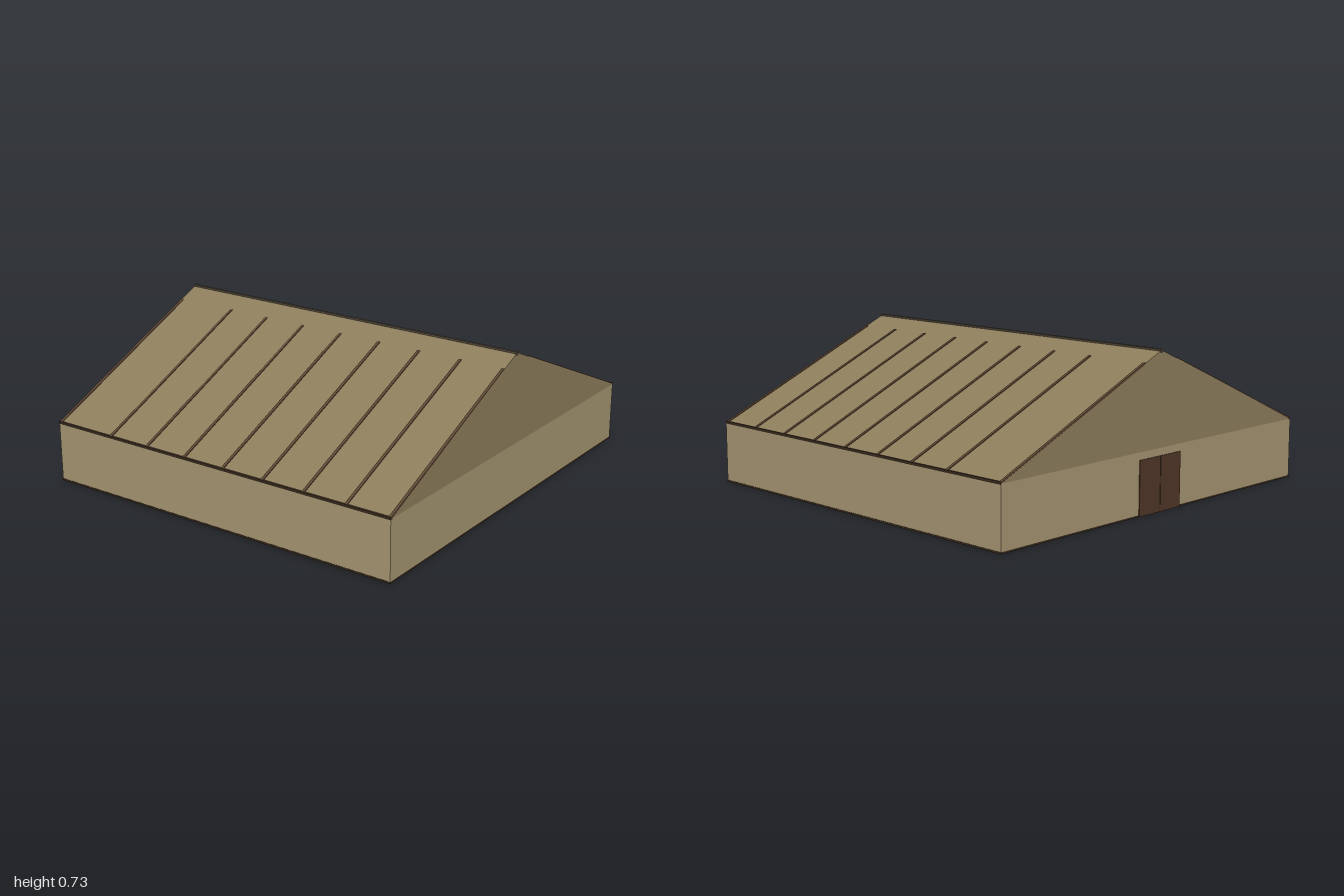
import * as THREE from 'three';

const HALF_W = 1, HALF_D = 0.935, WALL_H = 0.29, RIDGE_H = 0.728;

const material = (color) => new THREE.MeshStandardMaterial({ color, flatShading: true });

function box(name, w, h, d, x, y, z, mat) {
  const mesh = new THREE.Mesh(new THREE.BoxGeometry(w, h, d), mat);
  mesh.name = name;
  mesh.position.set(x, y, z);
  return mesh;
}

export function createModel() {
  const group = new THREE.Group();
  group.name = 'barn';
  const wallMat = material(0xa39370);
  const roofMat = material(0x8c7d5b);
  const trimMat = material(0x5c4632);
  const darkMat = material(0x3a2c1e);
  const doorMat = material(0x4f3526);

  // Walls on a thin dark base
  group.add(box('base', 2 * HALF_W, 0.008, 2 * HALF_D, 0, 0.004, 0, darkMat));
  group.add(box('walls', 2 * HALF_W - 0.004, WALL_H - 0.008, 2 * HALF_D, 0, 0.008 + (WALL_H - 0.008) / 2, 0, wallMat));

  // Gabled roof as one triangular prism
  const gable = new THREE.Shape();
  gable.moveTo(-HALF_W, WALL_H);
  gable.lineTo(HALF_W, WALL_H);
  gable.lineTo(0, RIDGE_H);
  const roofGeo = new THREE.ExtrudeGeometry(gable, { depth: 2 * HALF_D, bevelEnabled: false });
  roofGeo.translate(0, 0, -HALF_D);
  const roof = new THREE.Mesh(roofGeo, roofMat);
  roof.name = 'roof';
  group.add(roof);

  // Ridge pole
  const ridgeGeo = new THREE.CylinderGeometry(0.01, 0.01, 2 * HALF_D + 0.004, 8);
  ridgeGeo.rotateX(Math.PI / 2);
  const ridge = new THREE.Mesh(ridgeGeo, material(0x4a4032));
  ridge.name = 'ridgePole';
  ridge.position.set(0, RIDGE_H - 0.004, 0);
  group.add(ridge);

  // Battens and eave strips on both slopes
  const rise = RIDGE_H - WALL_H;
  const angle = Math.atan2(rise, HALF_W);
  const battenZ = [-0.928];
  for (let i = 0; i < 8; i++) battenZ.push(0.928 - i * 0.22);
  const x0 = 0.11, x1 = 0.995, mid = (x0 + x1) / 2;
  for (const side of [-1, 1]) {
    for (const z of battenZ) {
      const batten = box('roofBatten', (x1 - x0) / Math.cos(angle), 0.008, 0.014,
        side * mid, RIDGE_H - rise * mid, z, trimMat);
      batten.rotation.z = -side * angle;
      group.add(batten);
    }
    group.add(box('eaveStrip', 0.012, 0.012, 2 * HALF_D, side * 0.993, WALL_H + 0.002, 0, darkMat));
  }

  // Double door in the back wall
  for (const side of [-1, 1]) {
    group.add(box('doorLeaf', 0.138, 0.255, 0.008, side * 0.072, 0.1275, -HALF_D, doorMat));
  }
  group.add(box('doorGap', 0.008, 0.255, 0.004, 0, 0.1275, -HALF_D, darkMat));

  return group;
}
